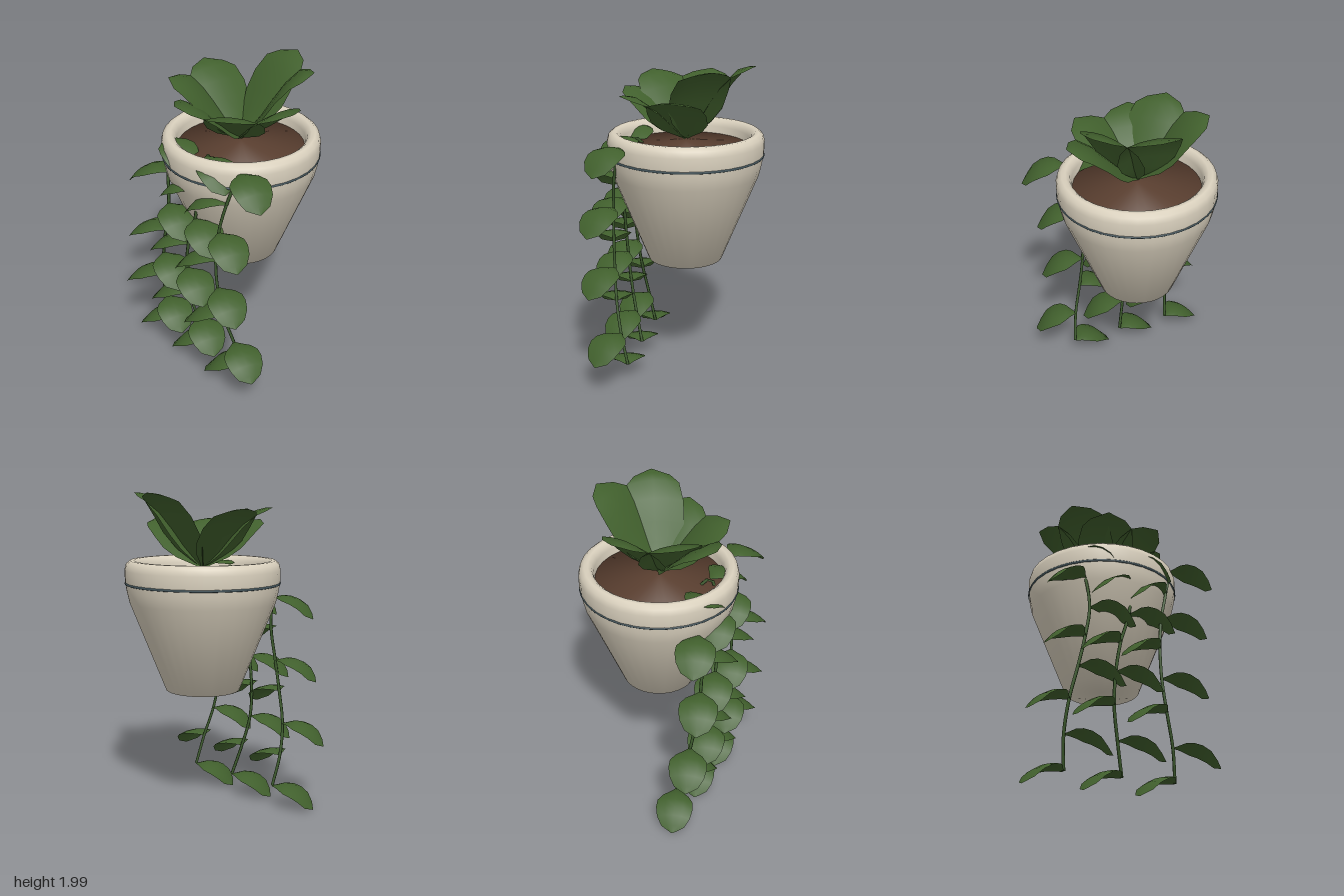
import * as THREE from 'three';

const mat = (name, color, side = THREE.FrontSide) => {
  const m = new THREE.MeshStandardMaterial({ color, side });
  m.name = name;
  return m;
};

const POT_Z = -0.045;

// half-width of a blunt leaf (1 = widest) at fractions of its length
const OUTLINE = [[0, 0.08], [0.12, 0.34], [0.25, 0.7], [0.4, 0.97], [0.57, 1], [0.75, 0.9], [0.89, 0.62], [1, 0.03]];

// height of the midrib at a fraction of the length
const sample = (pts, t) => {
  const i = Math.min(pts.length - 2, Math.floor(t * (pts.length - 1)));
  const f = t * (pts.length - 1) - i;
  return THREE.MathUtils.lerp(pts[i], pts[i + 1], f);
};

// arched leaf surface: runs along a horizontal heading, edges drooping below the midrib
function leafGeometry(heading, length, halfWidth, rise, droop) {
  const dx = Math.cos(heading), dz = Math.sin(heading);
  const across = 4, pos = [], index = [];
  OUTLINE.forEach(([t, w], i) => {
    for (let j = 0; j <= across; j++) {
      const s = (j / across) * 2 - 1;
      const side = s * w * halfWidth;
      pos.push(dx * t * length - dz * side, rise(t) - droop * w * s * s, dz * t * length + dx * side);
      if (i < OUTLINE.length - 1 && j < across) {
        const a = i * (across + 1) + j, b = a + across + 1;
        index.push(a, a + 1, b, a + 1, b + 1, b);
      }
    }
  });
  const g = new THREE.BufferGeometry();
  g.setAttribute('position', new THREE.Float32BufferAttribute(pos, 3));
  g.setIndex(index);
  g.computeVertexNormals();
  return g;
}

const lathe = points => new THREE.LatheGeometry(points.map(([r, y]) => new THREE.Vector2(r, y)), 32);

export function createModel() {
  const model = new THREE.Group();
  const clay = mat('cream clay', 0xdad1be);
  const soilMat = mat('brown soil', 0x5a3f30);
  const bandMat = mat('slate band', 0x43545a);
  const leafMat = mat('leaf green', 0x41602d, THREE.DoubleSide);
  const stemMat = mat('stem green', 0x3c592d);

  const add = (parent, name, geometry, material, x = 0, y = 0, z = 0) => {
    const m = new THREE.Mesh(geometry, material);
    m.name = name;
    m.position.set(x, y, z);
    parent.add(m);
    return m;
  };

  // pot with rounded rim and a softly shaded foot
  add(model, 'pot', lathe([
    [0, 0.77], [0.234, 0.77], [0.458, 1.33], [0.474, 1.4], [0.483, 1.46], [0.485, 1.53], [0.475, 1.568],
    [0.45, 1.588], [0.425, 1.588], [0.403, 1.57], [0.393, 1.54], [0.385, 1.47],
  ]), clay, 0, 0, POT_Z);

  // thin band set into the wall below the rim
  const band = add(model, 'rimBand', new THREE.TorusGeometry(0.477, 0.0085, 8, 60), bandMat, 0, 1.447, POT_Z);
  band.rotation.x = Math.PI / 2;

  // soil plug, smooth over its edge
  add(model, 'soil', lathe([[0.33, 1.1], [0.392, 1.495], [0, 1.525]]), soilMat, 0, 0, POT_Z);

  // rosette: leaves at the golden angle, in three steepnesses
  const rosette = new THREE.Group();
  rosette.name = 'rosette';
  rosette.position.set(0, 1.54, POT_Z);
  model.add(rosette);
  const arch = [0, 0.14, 0.3, 0.49, 0.68, 0.84, 0.95, 0.99, 1];
  for (let i = 0; i < 7; i++) {
    const height = [0.29, 0.37, 0.46][i % 3];
    const g = leafGeometry(THREE.MathUtils.degToRad(i * 137.5), 0.43, 0.178, t => height * sample(arch, t), 0.03);
    add(rosette, 'rosetteLeaf', g, leafMat);
  }

  // trailing vines: one x per node, shared heights and depths
  const nodeY = [1.54, 1.34, 1.135, 0.932, 0.737, 0.53, 0.33, 0.13];
  const nodeZ = [0.272, 0.33, 0.352, 0.362, 0.357, 0.34, 0.3, 0.25];
  const vines = {
    leftVine: [0.338, 0.288, 0.24, 0.222, 0.23, 0.265, 0.315, 0.345],
    middleVine: [0.05, 0.045, 0.025, -0.035, -0.065, -0.07, -0.035, 0.01],
    rightVine: [-0.29, -0.25, -0.23, -0.26, -0.3, -0.345, -0.36, -0.34],
  };
  const hang = [0, 0.02, 0.015, -0.03, -0.122];
  for (const [name, xs] of Object.entries(vines)) {
    const vine = new THREE.Group();
    vine.name = name;
    model.add(vine);
    const nodes = xs.map((x, i) => new THREE.Vector3(x, nodeY[i], nodeZ[i]));
    const root = new THREE.Vector3(xs[0] - 0.03, 1.5, 0.225);
    const path = new THREE.CatmullRomCurve3([root, ...nodes]);
    add(vine, 'stem', new THREE.TubeGeometry(path, 32, 0.01, 6), stemMat);
    nodes.forEach((n, i) => {
      const tilt = 0.33; // leaves swing a little towards the front
      const heading = i % 2 ? Math.PI - tilt : tilt;
      const g = leafGeometry(heading, 0.278, 0.118, t => sample(hang, t), 0.024);
      add(vine, 'trailingLeaf', g, leafMat, n.x, n.y, n.z);
    });
  }
  return model;
}
